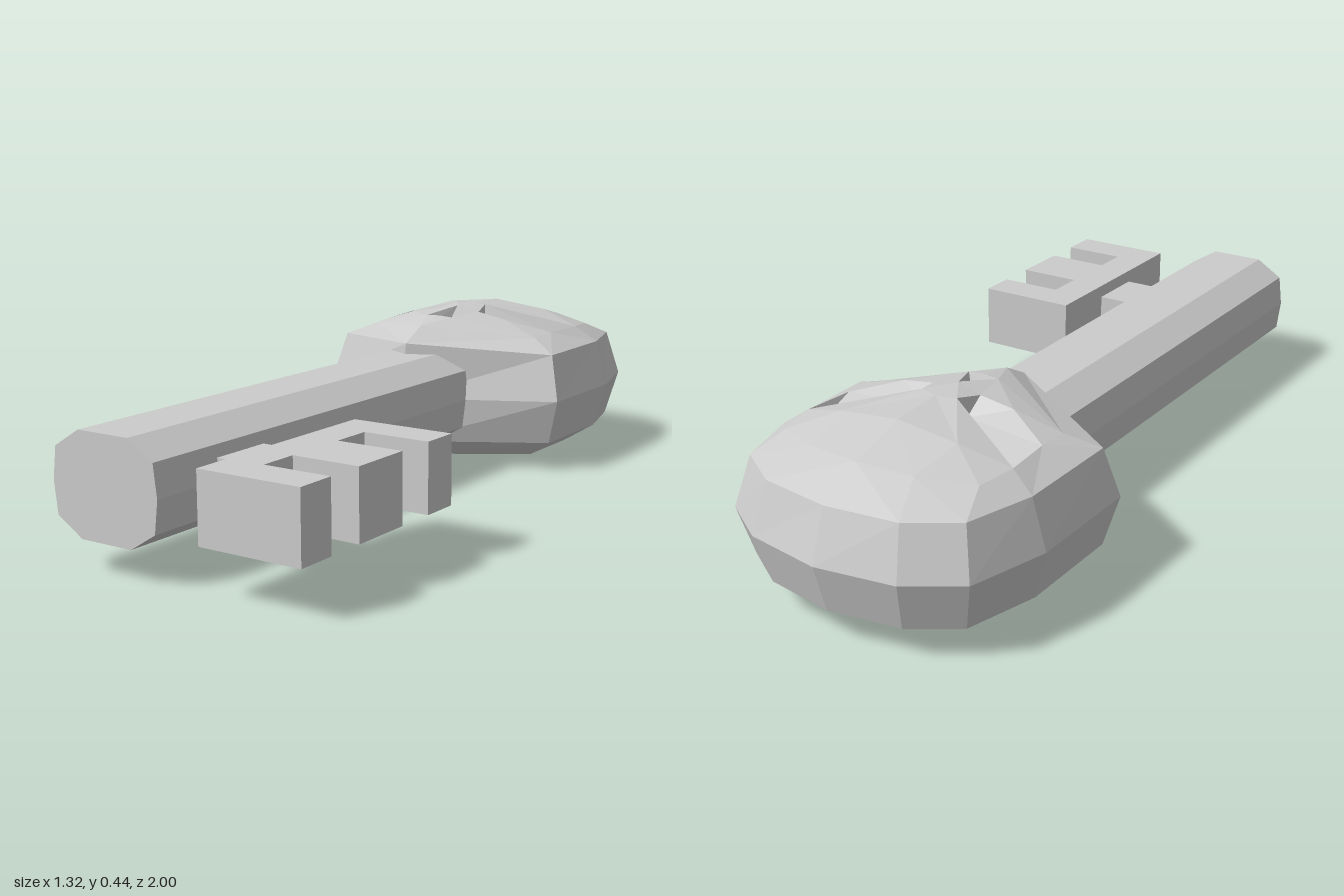
import * as THREE from 'three';

const material = new THREE.MeshStandardMaterial({ color: 0xcccccc, flatShading: true });

function facetMesh(name, triangles) {
  const geometry = new THREE.BufferGeometry().setFromPoints(triangles);
  geometry.computeVertexNormals();
  const mesh = new THREE.Mesh(geometry, material);
  mesh.name = name;
  return mesh;
}

// Extrudes an [x, y] outline along z
function extrude(name, outline, depth) {
  const shape = new THREE.Shape(outline.map(([x, y]) => new THREE.Vector2(x, y)));
  const mesh = new THREE.Mesh(new THREE.ExtrudeGeometry(shape, { depth, bevelEnabled: false }), material);
  mesh.name = name;
  return mesh;
}

// Corners of one half of the face, x >= 0
const P = {
  // rim, from chin to crown
  r0: [0, 0.36, -0.235], r1: [0.35, 0.33, -0.445], r2: [0.345, 0.33, -0.73],
  r3: [0.295, 0.33, -0.9], r4: [0.18, 0.33, -0.975], r5: [0, 0.33, -1.0],
  // brow, forehead and cheek
  b0: [0, 0.433, -0.6], b1: [0.049, 0.433, -0.586], b2: [0.284, 0.372, -0.711],
  f0: [0, 0.428, -0.74], f1: [0.16, 0.41, -0.74], f2: [0, 0.387, -0.89],
  f3: [0.14, 0.38, -0.87], f4: [0.265, 0.367, -0.81],
  c0: [0, 0.4, -0.31], c1: [0.27, 0.365, -0.49],
  // eye opening and its sunken floor
  e1: [0.067, 0.42, -0.519], e2: [0.156, 0.405, -0.516], e3: [0.273, 0.37, -0.579],
  d1: [0.062, 0.38, -0.566], d2: [0.268, 0.335, -0.685],
  // nose opening and its floor
  n0: [0, 0.435, -0.51], n1: [0.042, 0.415, -0.41], n2: [0, 0.418, -0.408],
  m0: [0, 0.39, -0.49], m1: [0.032, 0.39, -0.418], m2: [0, 0.39, -0.418],
};

const FACES = [
  // chin, cheek and nose bridge
  'r0 r1 c1 c0', 'c0 n1 n2', 'c0 c1 n1', 'n1 c1 e2', 'n1 e2 e1', 'n1 e1 n0', 'n0 e1 b1 b0',
  'c1 e3 e2', 'r1 e3 c1', 'r1 r2 e3', 'r2 b2 e3',
  // forehead
  'b0 b1 f1 f0', 'b1 b2 f1', 'f1 b2 f4', 'f4 b2 r2', 'f4 r2 r3', 'f4 r3 f3', 'f1 f4 f3',
  'f0 f1 f3 f2', 'f2 f3 r4 r5', 'f3 r3 r4',
  // eye socket
  'b1 b2 d2 d1', 'e1 b1 d1', 'b2 e3 d2', 'd1 d2 e3', 'd1 e3 e2', 'd1 e2 e1',
  // nose socket
  'n0 n1 m1 m0', 'n1 n2 m2 m1', 'm0 m1 m2',
];

function skullFace() {
  const triangles = [];
  for (const side of [1, -1]) {
    for (const face of FACES) {
      const v = face.split(' ').map((k) => new THREE.Vector3(P[k][0] * side, P[k][1], P[k][2]));
      for (let i = 1; i < v.length - 1; i++) {
        const [a, b, c] = [v[0], v[i], v[i + 1]];
        // every facet looks upward
        const up = b.clone().sub(a).cross(c.clone().sub(a)).y;
        triangles.push(a, ...(up > 0 ? [b, c] : [c, b]));
      }
    }
  }
  return facetMesh('skullFace', triangles);
}

function skullBack() {
  const outline = [[0, -0.226], [0.383, -0.419], [0.38, -0.73], [0.323, -0.932], [0.197, -1.013], [0, -1.045]];
  const midZ = -0.63;
  const scaled = (s, y, chin = s) => outline.map(([x, z], i) =>
    [x * s, y, midZ + (z - midZ) * (i === 0 ? chin : s)]);
  const rim = ['r0', 'r1', 'r2', 'r3', 'r4', 'r5'].map((k) => P[k]);
  const halves = [scaled(0.36, 0.006), scaled(0.69, 0.027, 0.78), scaled(0.91, 0.08, 0.98), scaled(1, 0.205), rim];
  // mirror each half section into a closed ring
  const rings = halves.map((h) => [...h, ...h.slice(1, -1).reverse().map(([x, y, z]) => [-x, y, z])]
    .map((p) => new THREE.Vector3(...p)));
  const triangles = [];
  const pole = new THREE.Vector3(0, 0, midZ);
  const n = rings[0].length;
  for (let i = 0; i < n; i++) {
    const j = (i + 1) % n;
    triangles.push(pole, rings[0][j], rings[0][i]);
    for (let k = 0; k < rings.length - 1; k++) {
      const [a, b] = [rings[k], rings[k + 1]];
      triangles.push(a[i], a[j], b[j], a[i], b[j], b[i]);
    }
  }
  return facetMesh('skullBack', triangles);
}

export function createModel() {
  const model = new THREE.Group();
  const key = new THREE.Group();
  key.name = 'key';
  key.rotation.y = Math.PI / 12;
  model.add(key);

  // Skull-shaped bow
  const bow = new THREE.Group();
  bow.name = 'skullBow';
  bow.position.x = -0.11;
  bow.add(skullFace(), skullBack());
  key.add(bow);

  // Ten-sided shaft
  const quarter = [[0.155, 0], [0.145, 0.08], [0.073, 0.125]];
  const upper = [...quarter, ...quarter.slice().reverse().map(([x, y]) => [-x, y])];
  const section = [...upper, ...upper.slice(1, -1).reverse().map(([x, y]) => [x, -y])];
  const shaft = extrude('shaft', section, 1.3);
  shaft.position.set(-0.11, 0.205, -0.34);
  key.add(shaft);

  // Stem joining the bit to the shaft
  const stem = new THREE.Mesh(new THREE.BoxGeometry(0.2, 0.1, 0.165), material);
  stem.name = 'bitStem';
  stem.position.set(0.06, 0.205, 0.673);
  key.add(stem);

  // Bit with three teeth
  const outline = [[0.155, 0.388]];
  for (const [start, end] of [[0.388, 0.487], [0.591, 0.756], [0.855, 0.958]]) {
    if (start > 0.4) outline.push([0.252, start]);
    outline.push([0.426, start], [0.426, end]);
    if (end < 0.9) outline.push([0.252, end]);
  }
  outline.push([0.155, 0.958]);
  const bit = extrude('bit', outline, 0.17);
  bit.rotation.x = Math.PI / 2;
  bit.position.y = 0.29;
  key.add(bit);

  return model;
}
